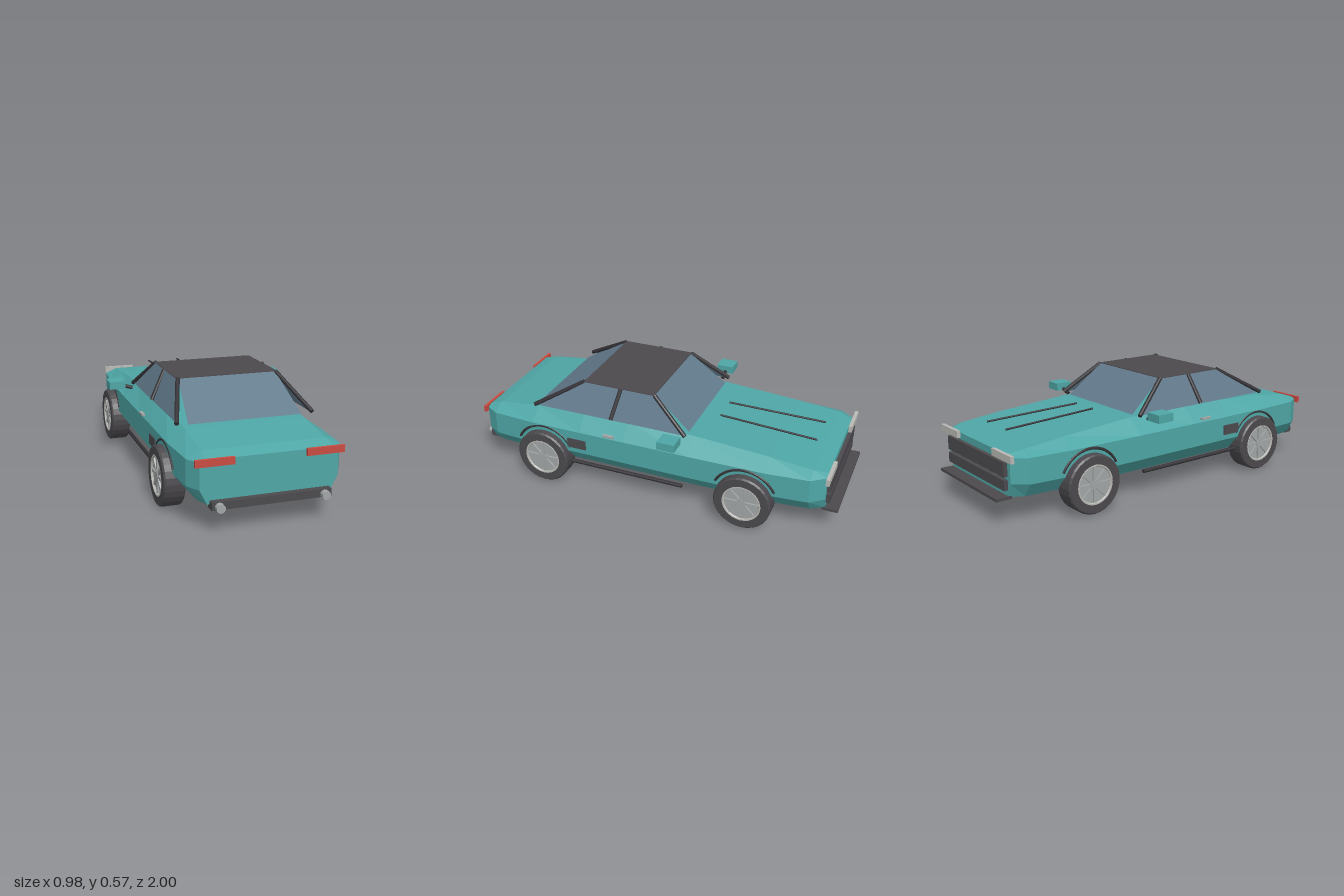
import * as THREE from 'three';

const mat = (name, color, extra = {}) =>
  Object.assign(new THREE.MeshStandardMaterial({ color, flatShading: true, ...extra }), { name });

export function createModel() {
  const car = new THREE.Group();
  car.name = 'car';
  const paint = mat('teal paint', 0x4fa6a6);
  const glass = mat('window glass', 0x627a8c, { side: THREE.DoubleSide });
  const rubber = mat('dark grey', 0x4b494d, { side: THREE.DoubleSide });
  const trim = mat('black trim', 0x343236);
  const metal = mat('wheel metal', 0xa2a6a6);
  const lamp = mat('headlamp', 0xb8b8b4);
  const red = mat('tail lamp red', 0xc84c42);

  const add = (name, geo, material, parent = car) => {
    const m = new THREE.Mesh(geo, material);
    m.name = name;
    parent.add(m);
    return m;
  };
  // box given by its minimum and maximum corners
  const box = (name, material, a, b) => {
    const m = add(name, new THREE.BoxGeometry(b[0] - a[0], b[1] - a[1], b[2] - a[2]), material);
    m.position.set((a[0] + b[0]) / 2, (a[1] + b[1]) / 2, (a[2] + b[2]) / 2);
    return m;
  };
  // round bar between two points
  const rod = (name, material, a, b, r) => {
    const p = new THREE.Vector3(...a), q = new THREE.Vector3(...b);
    const d = q.clone().sub(p);
    const m = add(name, new THREE.CylinderGeometry(r, r, d.length(), 10), material);
    m.position.copy(p).add(q).multiplyScalar(0.5);
    m.quaternion.setFromUnitVectors(new THREE.Vector3(0, 1, 0), d.normalize());
    return m;
  };
  const quad = (name, material, a, b, c, d) => {
    const g = new THREE.BufferGeometry();
    g.setAttribute('position', new THREE.Float32BufferAttribute([a, b, c, a, c, d].flat(), 3));
    g.computeVertexNormals();
    return add(name, g, material);
  };

  // body lofted from sections: z, bottom half width, side half width, deck half width, deck height
  const sections = [
    [-0.935, 0.27, 0.305, 0.27, 0.335], [-0.865, 0.31, 0.36, 0.30, 0.35],
    [-0.65, 0.33, 0.38, 0.30, 0.372], [-0.25, 0.33, 0.385, 0.30, 0.4],
    [0.1, 0.33, 0.385, 0.31, 0.408], [0.35, 0.33, 0.385, 0.31, 0.402],
    [0.63, 0.33, 0.385, 0.30, 0.386], [0.865, 0.32, 0.37, 0.30, 0.357],
    [0.935, 0.295, 0.33, 0.305, 0.335],
  ];
  const pos = [], idx = [], N = 8;
  sections.forEach(([z, wb, w, wt, yt], i) => {
    const half = [[wb, 0.13], [w, 0.2], [w, 0.325], [wt, yt]];
    const ring = [...half, ...half.map(([x, y]) => [-x, y]).reverse()];
    ring.forEach(([x, y]) => pos.push(x, y, z));
    for (let j = 0; i > 0 && j < N; j++) {
      const a = (i - 1) * N + j, b = (i - 1) * N + (j + 1) % N;
      idx.push(a, b, b + N, a, b + N, a + N);
    }
  });
  const last = (sections.length - 1) * N;
  for (let j = 1; j < N - 1; j++) idx.push(0, j + 1, j, last, last + j, last + j + 1);
  const hull = new THREE.BufferGeometry();
  hull.setAttribute('position', new THREE.Float32BufferAttribute(pos, 3));
  hull.setIndex(idx);
  const bodyGeo = hull.toNonIndexed();
  bodyGeo.computeVertexNormals();
  add('body', bodyGeo, paint);

  // roof and end windows
  const roof = 0.56, sill = 0.405;
  box('roof', rubber, [-0.265, roof - 0.006, -0.025], [0.265, roof + 0.003, 0.37]);
  quad('windscreen', glass, [0.28, sill, -0.22], [-0.28, sill, -0.22], [-0.255, roof, -0.025], [0.255, roof, -0.025]);
  quad('rearWindow', glass, [-0.285, sill, 0.63], [0.285, sill, 0.63], [0.255, roof, 0.37], [-0.255, roof, 0.37]);

  // wheel profile, turned about the axle
  const tyreProfile = [[0.1, -0.052], [0.14, -0.052], [0.147, -0.044], [0.147, 0.044], [0.14, 0.052], [0.1, 0.052], [0.1, -0.052]]
    .map(([r, h]) => new THREE.Vector2(r, h));
  const wheel = (s, z) => {
    const g = new THREE.Group();
    g.name = 'wheel';
    add('tyre', new THREE.LatheGeometry(tyreProfile, 28), rubber, g);
    add('wheelDisc', new THREE.CylinderGeometry(0.1, 0.1, 0.076, 28), metal, g);
    const rim = add('rim', new THREE.TorusGeometry(0.096, 0.007, 6, 28), lamp, g);
    rim.rotation.x = Math.PI / 2;
    rim.position.y = 0.046;
    for (let k = 0; k < 8; k++) {
      const a = k * Math.PI / 4;
      const spoke = add('spoke', new THREE.BoxGeometry(0.09, 0.012, 0.016), metal, g);
      spoke.position.set(Math.cos(a) * 0.05, 0.041, -Math.sin(a) * 0.05);
      spoke.rotation.y = a;
    }
    add('hub', new THREE.CylinderGeometry(0.022, 0.022, 0.012, 12), metal, g).position.y = 0.043;
    g.rotation.z = -s * Math.PI / 2;
    g.position.set(s * 0.372, 0.147, z);
    car.add(g);
  };

  for (const s of [1, -1]) {
    // cabin sides
    quad('sideWindow', glass, [s * 0.335, 0.41, 0.61], [s * 0.335, 0.41, -0.21], [s * 0.265, roof, -0.025], [s * 0.265, roof, 0.37]);
    rod('frontPillar', trim, [s * 0.34, 0.41, -0.22], [s * 0.26, roof, -0.025], 0.011);
    rod('middlePillar', trim, [s * 0.34, 0.415, 0.187], [s * 0.265, roof, 0.16], 0.011);
    rod('rearPillar', trim, [s * 0.34, 0.413, 0.63], [s * 0.257, roof, 0.37], 0.011);

    // wheels and arch trims
    for (const z of [-0.55, 0.56]) {
      wheel(s, z);
      const arch = add('wheelArch', new THREE.TorusGeometry(0.169, 0.007, 6, 16, 2.2), trim);
      arch.geometry.rotateZ((Math.PI - 2.2) / 2).rotateY(Math.PI / 2);
      arch.position.set(s * 0.382, 0.147, z);
    }

    // flank details
    rod('sillBar', trim, [s * 0.37, 0.132, 0.42], [s * 0.37, 0.132, -0.22], 0.01);
    const x = s * 0.385;
    box('sideVent', rubber, [x - 0.006, 0.228, 0.315], [x + 0.006, 0.28, 0.42]);
    const h = s * 0.39;
    box('doorHandle', metal, [h - 0.008, 0.339, 0.15], [h + 0.008, 0.35, 0.208]);
    const m = s * 0.446;
    box('mirror', paint, [m - 0.043, 0.402, -0.222], [m + 0.043, 0.443, -0.13]);
    rod('mirrorArm', trim, [s * 0.355, 0.393, -0.18], [s * 0.412, 0.411, -0.18], 0.01);

    // bonnet strips, lamps and exhausts
    rod('bonnetStrip', trim, [s * 0.092, 0.392, -0.83], [s * 0.072, 0.41, -0.315], 0.005);
    const l = s * 0.2625;
    box('headlamp', lamp, [l - 0.088, 0.31, -0.955], [l + 0.088, 0.345, -0.937]);
    box('tailLamp', red, [l - 0.092, 0.307, 0.934], [l + 0.092, 0.341, 0.948]);
    rod('exhaust', metal, [s * 0.25, 0.127, 0.94], [s * 0.25, 0.127, 0.995], 0.021);
  }

  // front and rear trim
  box('grille', rubber, [-0.28, 0.23, -0.955], [0.28, 0.3, -0.93]);
  box('lowerGrille', rubber, [-0.28, 0.165, -0.955], [0.28, 0.215, -0.93]);
  box('splitter', rubber, [-0.285, 0.123, -1], [0.285, 0.137, -0.92]);
  box('rearBumper', rubber, [-0.285, 0.112, 0.92], [0.285, 0.149, 0.968]);
  return car;
}
